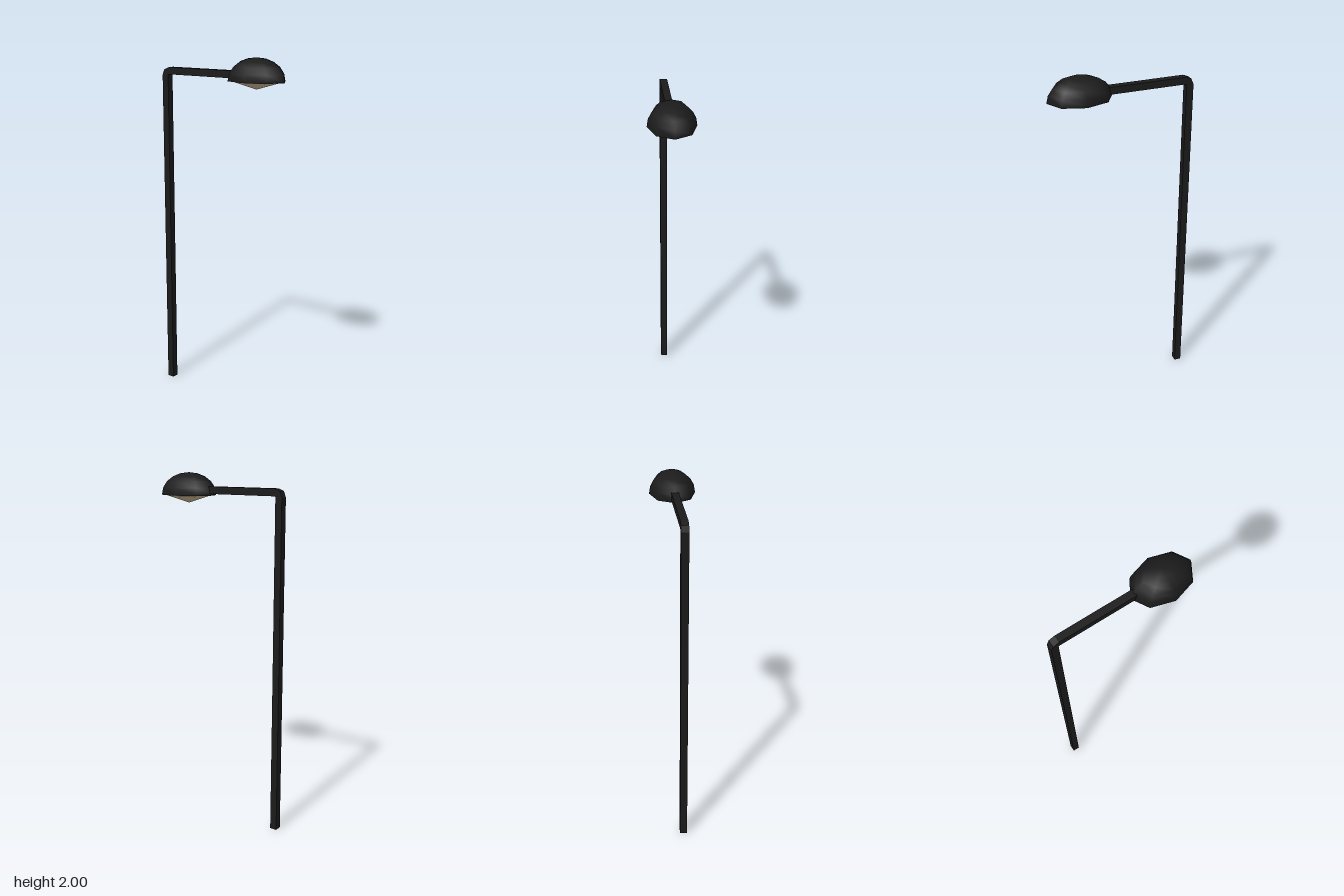
import * as THREE from 'three';
import { mergeVertices } from 'three/addons/utils/BufferGeometryUtils.js';

const HEAD_SIDES = 8;

// Closed square bar bent in the y-z plane; each station is [z, y, tilt from vertical]
function bentBar(stations, half) {
  const corners = [[half, half], [-half, half], [-half, -half], [half, -half]];
  const pos = [], index = [];
  for (const [z, y, tilt] of stations) {
    for (const [u, v] of corners) {
      pos.push(u, y - v * Math.sin(tilt), z + v * Math.cos(tilt));
    }
  }
  const last = (stations.length - 1) * 4;
  for (let s = 0; s < last; s += 4) {
    for (let i = 0; i < 4; i++) {
      const j = (i + 1) % 4;
      index.push(s + i, s + 4 + i, s + j, s + j, s + 4 + i, s + 4 + j);
    }
  }
  index.push(0, 1, 2, 0, 2, 3, last, last + 2, last + 1, last, last + 3, last + 2);
  const indexed = new THREE.BufferGeometry();
  indexed.setAttribute('position', new THREE.Float32BufferAttribute(pos, 3));
  indexed.setIndex(index);
  const geo = indexed.toNonIndexed(); // sharp edges
  geo.computeVertexNormals();
  return geo;
}

// Downward cone whose sides shade smoothly into the tip
function smoothLens(radius, depth) {
  const cone = new THREE.ConeGeometry(radius, depth, HEAD_SIDES, 1, true);
  cone.rotateX(Math.PI);
  cone.deleteAttribute('normal');
  cone.deleteAttribute('uv');
  const geo = mergeVertices(cone);
  geo.computeVertexNormals();
  return geo;
}

export function createModel() {
  const model = new THREE.Group();
  model.name = 'streetLamp';

  const metal = new THREE.MeshStandardMaterial({ color: 0x1b1b1b });
  metal.name = 'darkMetal';
  const glass = new THREE.MeshStandardMaterial({ color: 0xcdb993 });
  glass.name = 'warmGlass';

  const add = (name, geo, material, parent) => {
    const mesh = new THREE.Mesh(geo, material);
    mesh.name = name;
    parent.add(mesh);
    return mesh;
  };

  // Square upright and arm, joined by a short bend
  const poleZ = -0.385, armY = 1.905, bend = 0.025;
  const stations = [[poleZ, 0, 0]];
  for (let i = 0; i <= 2; i++) {
    const t = (i / 2) * Math.PI / 2;
    stations.push([poleZ + bend * (1 - Math.cos(t)), armY - bend + bend * Math.sin(t), t]);
  }
  stations.push([0.12, armY, Math.PI / 2]);
  add('poleAndArm', bentBar(stations, 0.02), metal, model);

  // Lamp head, an eight-sided oval stretched along the arm
  const head = new THREE.Group();
  head.name = 'lampHead';
  head.position.set(0, 1.88, 0.225);
  head.scale.set(0.126, 0.12, 0.176);
  model.add(head);

  // Hood: half a dome with a short lip
  add('hood', new THREE.SphereGeometry(1, HEAD_SIDES, 5, 0, Math.PI * 2, 0, Math.PI / 2), metal, head);
  add('lip', new THREE.CylinderGeometry(1, 1, 0.04, HEAD_SIDES, 1, true), metal, head).position.y = -0.02;
  const rim = new THREE.RingGeometry(0.8, 1, HEAD_SIDES);
  rim.rotateX(Math.PI / 2);
  add('rim', rim, metal, head).position.y = -0.04;

  // Shallow pointed lens under the hood
  add('lens', smoothLens(0.88, 0.37), glass, head).position.y = -0.215;

  return model;
}
